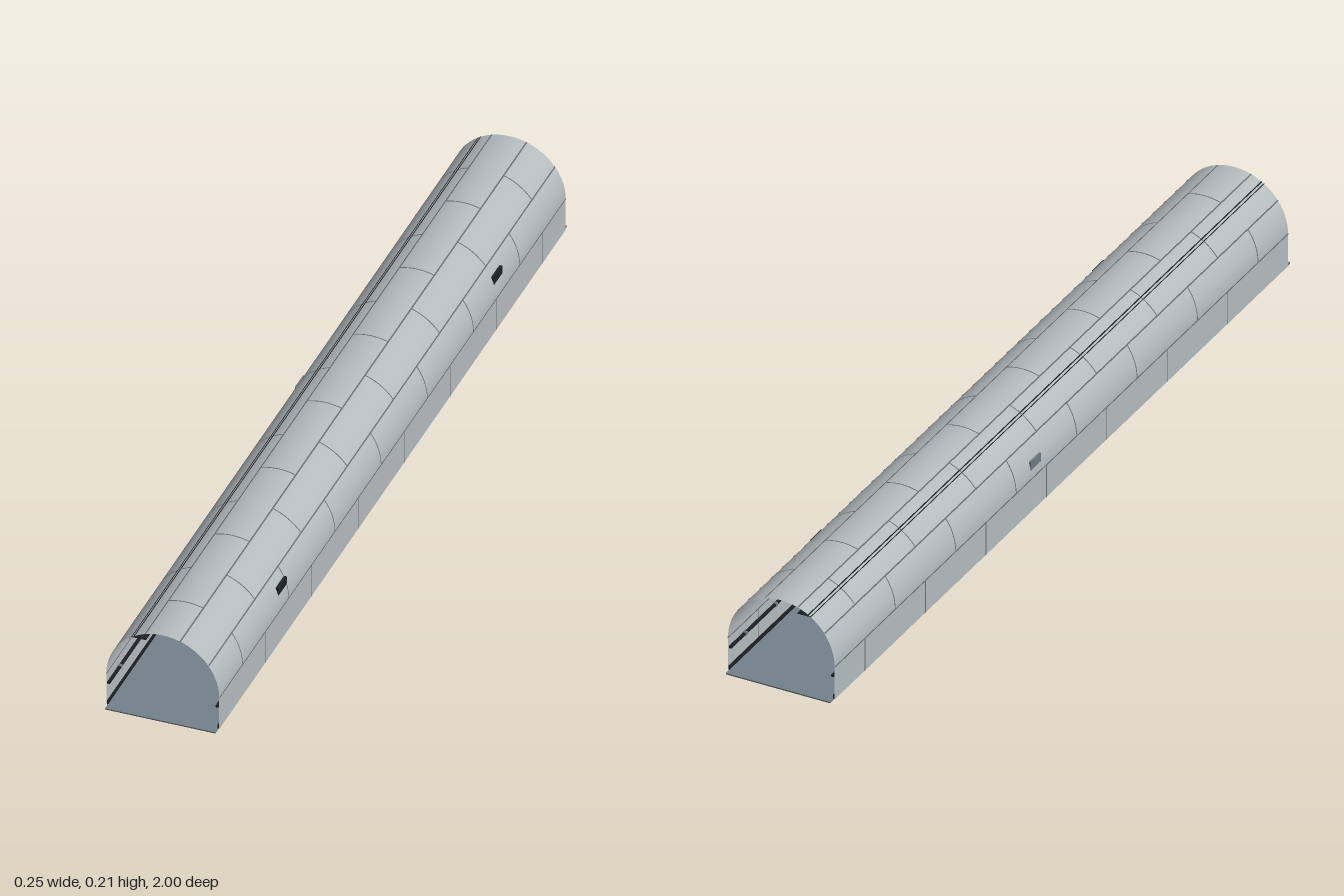
import * as THREE from 'three';

const WALL = 0.08, R = 0.125, HALF = 0.985, PANEL = (HALF * 2) / 15, BASE = 0.002;

const mat = (name, color, side = THREE.FrontSide) => {
  const m = new THREE.MeshStandardMaterial({ color, side });
  m.name = name;
  return m;
};

// Point on the tunnel section: s 0..1 left wall, 1..6 arch, 6..7 right wall
function section(s, off) {
  const r = R + off;
  if (s < 1) return [r, BASE + (WALL - BASE) * s];
  if (s > 6) return [-r, BASE + (WALL - BASE) * (7 - s)];
  const a = ((s - 1) / 5) * Math.PI;
  return [r * Math.cos(a), WALL + r * Math.sin(a)];
}

// Curved sheet that follows the section from s0 to s1 and runs from z0 to z1
function sheet(s0, s1, z0, z1, off, n) {
  const g = new THREE.PlaneGeometry(1, 1, n, 1);
  const p = g.attributes.position;
  for (let i = 0; i < p.count; i++) {
    const [x, y] = section(s0 + (s1 - s0) * (p.getX(i) + 0.5), off);
    p.setXYZ(i, x, y, p.getY(i) > 0 ? z0 : z1);
  }
  g.computeVertexNormals();
  return g;
}

export function createModel() {
  const group = new THREE.Group();
  const lining = mat('lining grey', 0xb2babc, THREE.DoubleSide);
  const joint = mat('joint grey', 0x676d6f, THREE.DoubleSide);
  const road = mat('floor grey', 0x74818a);
  const under = mat('underside grey', 0x606467);
  const steel = mat('cabinet grey', 0x6c7983);
  const dark = mat('dark metal', 0x1e2124);

  const add = (name, geo, material, parent = group) => {
    const m = new THREE.Mesh(geo, material);
    m.name = name;
    parent.add(m);
    return m;
  };
  const box = (name, x0, x1, y0, y1, z0, z1, material, parent) =>
    add(name, new THREE.BoxGeometry(x1 - x0, y1 - y0, z1 - z0), material, parent)
      .position.set((x0 + x1) / 2, (y0 + y1) / 2, (z0 + z1) / 2);

  // Lining: one smooth open vault
  add('lining', sheet(0, 7, -HALF, HALF, 0, 140), lining);

  // Joints between staggered lining panels, on both faces
  const joints = new THREE.Group();
  joints.name = 'panelJoints';
  group.add(joints);
  for (const off of [0.0005, -0.0005]) {
    for (let s = 1; s <= 6; s++)
      add('longJoint', sheet(s - 0.02, s + 0.02, -HALF, HALF, off, 2), joint, joints);
    for (let c = 0; c < 7; c++)
      for (let k = 1; k < 15; k++) {
        if (k % 2 !== c % 2) continue;
        const z = HALF - k * PANEL;
        add('ringJoint', sheet(c, c + 1, z - 0.0015, z + 0.0015, off, 16), joint, joints);
      }
  }

  // Floor: a road surface on a darker slab
  box('floorSlab', -0.122, 0.122, 0, 0.0015, -1, 1, under);
  box('floorSurface', -0.122, 0.122, 0.0015, 0.003, -1, 1, road);

  // Kerbs and side rails along both walls
  for (const side of [-1, 1]) {
    const edge = new THREE.Group();
    edge.name = side > 0 ? 'leftEdge' : 'rightEdge';
    group.add(edge);
    const span = (name, a, b, y0, y1, z0, z1, m) =>
      box(name, Math.min(a * side, b * side), Math.max(a * side, b * side), y0, y1, z0, z1, m, edge);
    span('kerb', 0.1215, 0.1235, 0.003, 0.013, -HALF, HALF, dark);
    span('sideRail', 0.117, 0.123, 0.055, 0.06, -HALF, HALF, dark);
    for (let k = 0; k < 15; k++) {
      const z = -HALF + (k + 0.5) * PANEL;
      span('railBracket', 0.116, 0.124, 0.054, 0.061, z - 0.004, z + 0.004, steel);
    }
  }

  // Cable tray hung under the crown
  const tray = new THREE.Group();
  tray.name = 'cableTray';
  group.add(tray);
  box('trayBase', -0.0695, -0.037, 0.184, 0.185, -HALF, HALF, dark, tray);
  for (let i = 0; i < 5; i++) {
    const g = new THREE.CylinderGeometry(0.0014, 0.0014, HALF * 2, 8).rotateX(Math.PI / 2);
    add('cable', g, dark, tray).position.set(-0.063 + i * 0.0055, 0.1875, 0);
  }
  for (let k = 0; k < 15; k++) {
    const z = -HALF + (k + 0.5) * PANEL;
    box('trayHanger', -0.0378, -0.037, 0.184, 0.199, z - 0.003, z + 0.003, dark, tray);
  }

  // Louvred lamps on the left wall
  for (const z of [-0.613, 0.613]) {
    const lamp = new THREE.Group();
    lamp.name = 'wallLamp';
    group.add(lamp);
    box('lampBody', 0.1135, 0.1205, 0.109, 0.1315, z - 0.024, z + 0.024, dark, lamp);
    for (let i = 0; i < 4; i++)
      box('louvre', 0.1115, 0.1135, 0.11 + i * 0.0055, 0.1125 + i * 0.0055, z - 0.022, z + 0.022, steel, lamp);
  }

  // Service cabinet on the right wall
  const cabinet = new THREE.Group();
  cabinet.name = 'serviceCabinet';
  group.add(cabinet);
  box('cabinetBody', -0.1235, -0.1115, 0.071, 0.119, -0.13, -0.085, steel, cabinet);
  box('cabinetDoor', -0.1115, -0.1095, 0.073, 0.117, -0.128, -0.087, dark, cabinet);

  return group;
}
